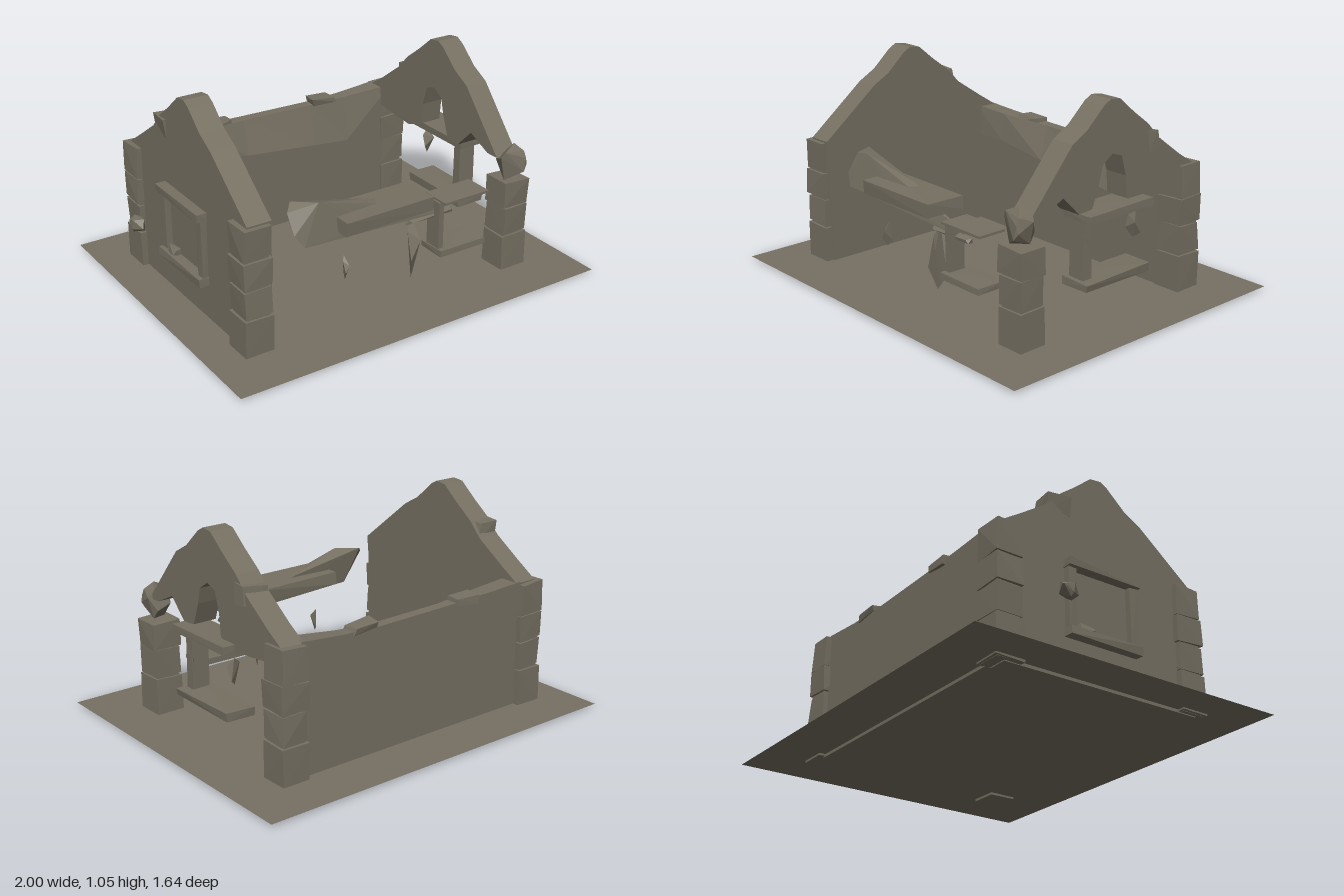
import * as THREE from 'three';
import { ConvexGeometry } from 'three/addons/geometries/ConvexGeometry.js';

const stone = new THREE.MeshStandardMaterial({ color: 0x767062 });
stone.name = 'weatheredStone';
stone.flatShading = true;
stone.side = THREE.DoubleSide;

let seed = 7;
const rnd = () => ((seed = (seed * 16807) % 2147483647) / 2147483647) * 2 - 1;

export function createModel() {
  seed = 7;
  const root = new THREE.Group();
  root.name = 'ruinedHouse';
  const add = (name, geo, parent = root) => {
    const m = new THREE.Mesh(geo, stone);
    m.name = name;
    parent.add(m);
    return m;
  };
  // Rough block between two x, y, z ranges; corners shift by up to j
  const block = (name, [x0, x1], [y0, y1], [z0, z1], j = 0, parent = root) => {
    const pts = [];
    for (const x of [x0, x1]) for (const y of [y0, y1]) for (const z of [z0, z1])
      pts.push(new THREE.Vector3(x + rnd() * j, y + rnd() * j, z + rnd() * j));
    return add(name, new ConvexGeometry(pts), parent);
  };
  // Broken rock: a jittered ellipsoid hull
  const rock = (name, [x, y, z], [rx, ry, rz]) => {
    const pts = [];
    for (let i = 0; i < 14; i++) {
      const v = new THREE.Vector3(rnd(), rnd(), rnd()).normalize();
      pts.push(new THREE.Vector3(x + v.x * rx, y + v.y * ry, z + v.z * rz));
    }
    return add(name, new ConvexGeometry(pts));
  };
  // Thin splinter pointed at both ends
  const shard = (x, y0, y1, z, rx, rz) => {
    const h = y1 - y0;
    const pts = [[0, y0, 0], [rx, y0 + h * 0.2, -rz], [-rx, y0 + h * 0.35, rz], [-rx, y0 + h * 0.8, 0],
      [rx, y0 + h * 0.65, rz], [0.2 * rx, y1, -rz * 0.5]];
    add('splinter', new ConvexGeometry(pts.map(p => new THREE.Vector3(x + p[0], p[1], z + p[2]))));
  };
  // Gable outline in (z, y), extruded along x
  const gable = (name, outline, x0, x1) => {
    const s = new THREE.Shape(outline.map(([z, y]) => new THREE.Vector2(-z, y)));
    const g = new THREE.ExtrudeGeometry(s, { depth: x1 - x0, bevelEnabled: false });
    g.rotateY(Math.PI / 2).translate(x0, 0, 0);
    return add(name, g);
  };

  // Ground sheet
  const ground = add('ground', new THREE.PlaneGeometry(2, 1.64).rotateX(-Math.PI / 2));
  ground.position.y = 0.02;

  // Corner piers of stacked stones
  const courses = [[0.01, 0.2], [0.21, 0.345], [0.355, 0.485], [0.49, 0.645]];
  for (const [px, pz, n] of [[-0.755, 0.5, 4], [-0.755, -0.52, 4], [0.695, 0.5, 3], [0.695, -0.52, 4]]) {
    const pier = new THREE.Group();
    pier.name = 'cornerPier';
    root.add(pier);
    courses.slice(0, n).forEach(([a, b], i) => {
      const w = i % 2 ? 0.068 : 0.072;
      block('pierStone', [px - w, px + w], [a, b], [pz - w, pz + w], i ? 0.006 : 0.003, pier);
    });
    // Mortar core
    block('pierCore', [px - 0.06, px + 0.06], [0.01, courses[n - 1][1] - 0.02], [pz - 0.06, pz + 0.06], 0, pier);
  }
  rock('brokenPierTop', [0.69, 0.57, 0.52], [0.08, 0.1, 0.075]);

  // Solid gable wall
  const slope = [[0.55, 0.65], [0.25, 0.89], [0.16, 0.94], [0.06, 1.03], [0.02, 1.052], [-0.04, 1.045],
    [-0.13, 0.97], [-0.23, 0.895], [-0.3, 0.82], [-0.45, 0.72], [-0.56, 0.65]];
  gable('solidGable', [[0.53, 0.005], ...slope, [-0.53, 0.005]], -0.795, -0.672);
  block('gableChip', [-0.8, -0.69], [0.8, 0.9], [-0.28, -0.17], 0.015);

  // Broken gable arch with a ragged opening
  gable('brokenGable', [[0.5, 0.6], ...slope.slice(1, 9), [-0.45, 0.71], [-0.56, 0.64], [-0.5, 0.56],
    [-0.2, 0.53], [-0.1, 0.57], [-0.09, 0.68], [-0.06, 0.78], [0, 0.8], [0.06, 0.76], [0.08, 0.68],
    [0.12, 0.57], [0.2, 0.56], [0.3, 0.66], [0.43, 0.6]], 0.62, 0.74);
  block('gableChip', [0.63, 0.745], [0.76, 0.85], [-0.3, -0.22], 0.012);

  // Back wall: cross-sections along x with a crumbled inner upper edge
  const sections = [[-0.7, 0.655, 0.5, -0.46], [-0.5, 0.645, 0.5, -0.47], [-0.2, 0.635, 0.46, -0.505],
    [0.2, 0.628, 0.42, -0.505], [0.4, 0.635, 0.4, -0.49], [0.64, 0.655, 0.62, -0.46]];
  const pos = [], idx = [], n = 5;
  sections.forEach(([x, top, crease, zIn], i) => {
    pos.push(x, 0.005, -0.56, x, 0.005, -0.455, x, crease, -0.455, x, top, zIn, x, top, -0.56);
    if (i) for (let k = 0; k < n; k++) {
      const a = (i - 1) * n + k, b = (i - 1) * n + (k + 1) % n;
      idx.push(a, a + n, b, b, a + n, b + n);
    }
  });
  const back = new THREE.BufferGeometry();
  back.setAttribute('position', new THREE.Float32BufferAttribute(pos, 3));
  back.setIndex(idx);
  back.computeVertexNormals();
  add('backWall', back);
  for (const x of [-0.34, 0.28]) block('looseCopingStone', [x - 0.065, x + 0.065], [0.62, 0.655], [-0.57, -0.49], 0.01);

  // Window frame on the solid gable
  const left = new THREE.Group();
  left.name = 'closedWindowFrame';
  root.add(left);
  block('lintel', [-0.845, -0.78], [0.53, 0.57], [-0.21, 0.19], 0.003, left);
  block('sill', [-0.845, -0.78], [0.2, 0.24], [-0.21, 0.19], 0.003, left);
  for (const z of [-0.185, 0.165]) block('jamb', [-0.825, -0.78], [0.24, 0.53], [z - 0.022, z + 0.022], 0.002, left);
  block('sillRubble', [-0.83, -0.79], [0.24, 0.27], [-0.15, -0.08], 0.01, left);

  // Broken window frame under the open gable
  block('lintel', [0.64, 0.805], [0.53, 0.565], [-0.21, 0.2], 0.002);
  block('sill', [0.64, 0.795], [0.205, 0.245], [-0.21, 0.2], 0.004);
  block('jamb', [0.66, 0.75], [0.245, 0.53], [0.13, 0.178], 0.002);
  shard(0.72, 0.35, 0.51, 0.15, 0.03, 0.025);
  shard(0.72, 0.36, 0.49, -0.17, 0.03, 0.02);

  // Remains of the front wall: window pieces, plank and splinters
  block('frontLintel', [0.25, 0.51], [0.478, 0.49], [0.43, 0.58]);
  block('frontSill', [0.235, 0.5], [0.21, 0.24], [0.43, 0.58], 0.002);
  block('frontJamb', [0.24, 0.268], [0.24, 0.48], [0.46, 0.55]);
  block('frontPlank', [-0.315, 0.17], [0.485, 0.55], [0.385, 0.595], 0.004);
  shard(0.12, 0.1, 0.42, 0.5, 0.026, 0.035);
  shard(-0.26, 0.21, 0.33, 0.5, 0.01, 0.025);

  // Snapped beam, thick at one end
  const beam = [[-0.54, 0.61, 0.46], [-0.54, 0.52, 0.52], [-0.5, 0.46, 0.54], [-0.5, 0.64, 0.42], [-0.42, 0.46, 0.45],
    [-0.4, 0.64, 0.5], [-0.1, 0.56, 0.45], [-0.1, 0.47, 0.52], [0.15, 0.42, 0.48], [0.27, 0.45, 0.5], [0.27, 0.41, 0.51]];
  add('brokenBeam', new ConvexGeometry(beam.map(p => new THREE.Vector3(...p))));
  block('beamSplinter', [0.1, 0.35], [0.39, 0.42], [0.48, 0.51], 0.012);

  // Fallen stone
  rock('flyingStone', [-0.915, 0.35, -0.28], [0.038, 0.045, 0.055]);
  return root;
}
